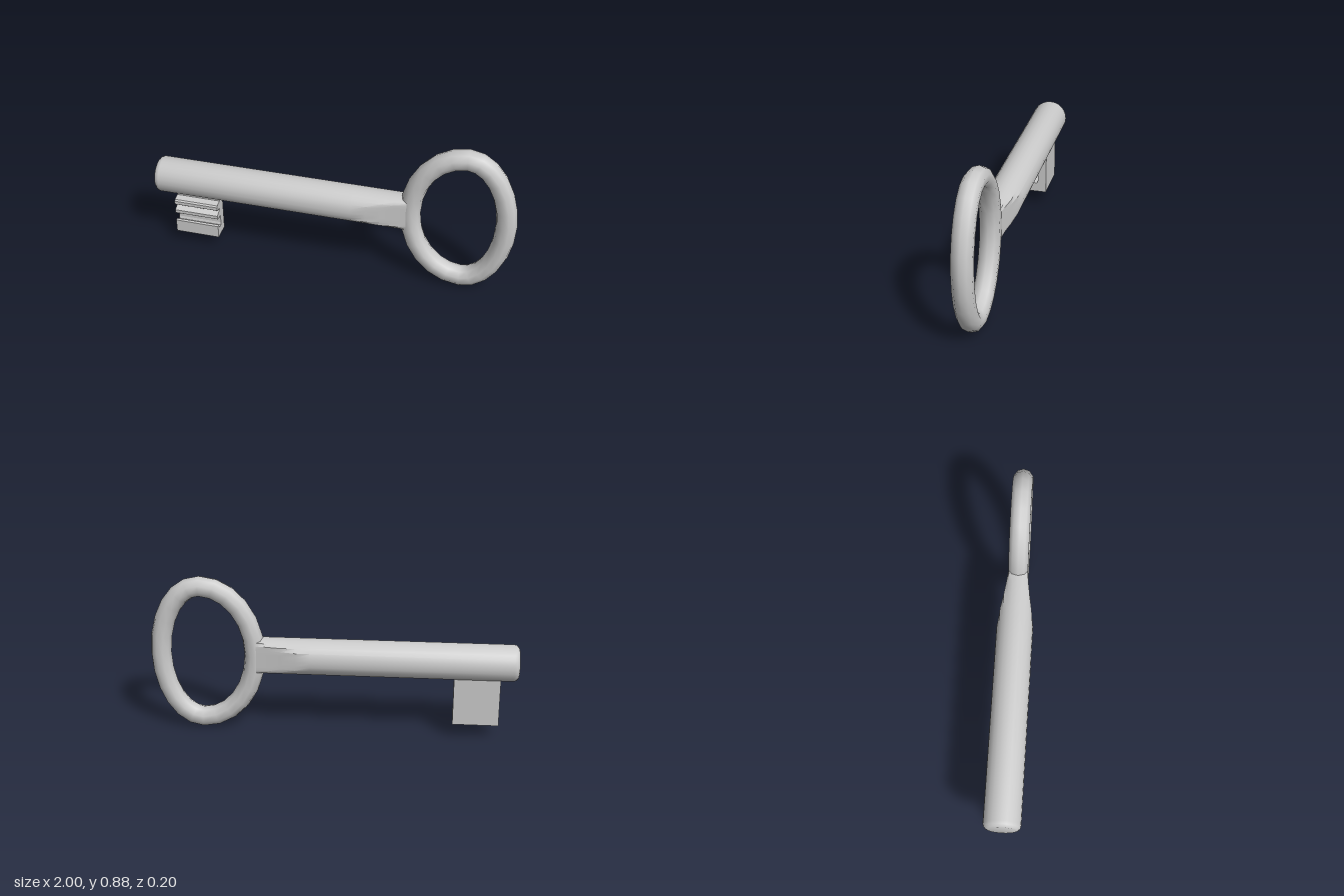
import * as THREE from 'three';
import { mergeVertices, toCreasedNormals } from 'three/addons/utils/BufferGeometryUtils.js';

const material = new THREE.MeshStandardMaterial({ color: 0xcccccc });
const AXIS_Y = 0.44;

function addPart(group, name, geometry) {
  const mesh = new THREE.Mesh(geometry, material);
  mesh.name = name;
  group.add(mesh);
  return mesh;
}

// Egg-shaped ring: a unit torus whose two halves have different widths
function ringGeometry() {
  const sides = 10, steps = 24, tube = 0.0565;
  const geo = new THREE.TorusGeometry(1, tube, sides, steps);
  const pos = geo.attributes.position;
  for (let j = 0; j <= sides; j++) {
    const v = (j / sides) * Math.PI * 2;
    for (let i = 0; i <= steps; i++) {
      const u = (i / steps) * Math.PI * 2;
      const rx = Math.cos(u) > 0 ? 0.224 : 0.292, ry = 0.384;
      const normal = new THREE.Vector2(Math.cos(u) / rx, Math.sin(u) / ry).normalize();
      const out = tube * Math.cos(v);
      pos.setXYZ(j * (steps + 1) + i,
        0.72 + rx * Math.cos(u) + normal.x * out,
        0.443 + ry * Math.sin(u) + normal.y * out,
        tube * Math.sin(v));
    }
  }
  geo.deleteAttribute('uv');
  geo.deleteAttribute('normal');
  const welded = mergeVertices(geo);
  welded.computeVertexNormals();
  return welded;
}

// Round shaft with a bevelled tip, its sides pared flat toward the ring
function shaftGeometry() {
  const profile = [
    [0, 0.42], [0.1, 0.42], [0.1, 0.35], [0.1, 0.28], [0.1, 0.2], [0.1, 0.12],
    [0.1, -0.97], [0.096, -0.985], [0.085, -0.996], [0.075, -1], [0, -1],
  ].reverse().map(([r, x]) => new THREE.Vector2(r, x));
  const geo = new THREE.LatheGeometry(profile, 24);
  geo.rotateZ(-Math.PI / 2);
  const pos = geo.attributes.position;
  for (let i = 0; i < pos.count; i++) {
    const t = THREE.MathUtils.clamp((pos.getX(i) - 0.12) / 0.28, 0, 1);
    const limit = THREE.MathUtils.lerp(0.1, 0.053, t);
    pos.setZ(i, THREE.MathUtils.clamp(pos.getZ(i), -limit, limit));
  }
  geo.translate(0, AXIS_Y, 0);
  return toCreasedNormals(geo, 0.6);
}

// Bit: a plate with two ridges and a hooked foot on its front
function bitGeometry() {
  const profile = [
    [-0.05, 0.085], [0.05, 0.085], [0.05, 0.16], [0.032, 0.16], [0.028, 0.14],
    [0.005, 0.14], [0, 0.155], [0, 0.205], [0.04, 0.205], [0.048, 0.212],
    [0.048, 0.232], [0.04, 0.238], [0.008, 0.25], [0.008, 0.262], [0.04, 0.265],
    [0.048, 0.272], [0.048, 0.292], [0.04, 0.3], [0, 0.305], [0, 0.4], [-0.05, 0.4],
  ];
  const shape = new THREE.Shape(profile.map(([z, y]) => new THREE.Vector2(-z, y)));
  const geo = new THREE.ExtrudeGeometry(shape, { depth: 0.25, bevelEnabled: false });
  geo.rotateY(Math.PI / 2);
  geo.translate(-0.905, 0, 0);
  return geo;
}

export function createModel() {
  const group = new THREE.Group();
  group.name = 'key';
  addPart(group, 'ringHandle', ringGeometry());
  addPart(group, 'shaft', shaftGeometry());
  addPart(group, 'bit', bitGeometry());
  return group;
}
